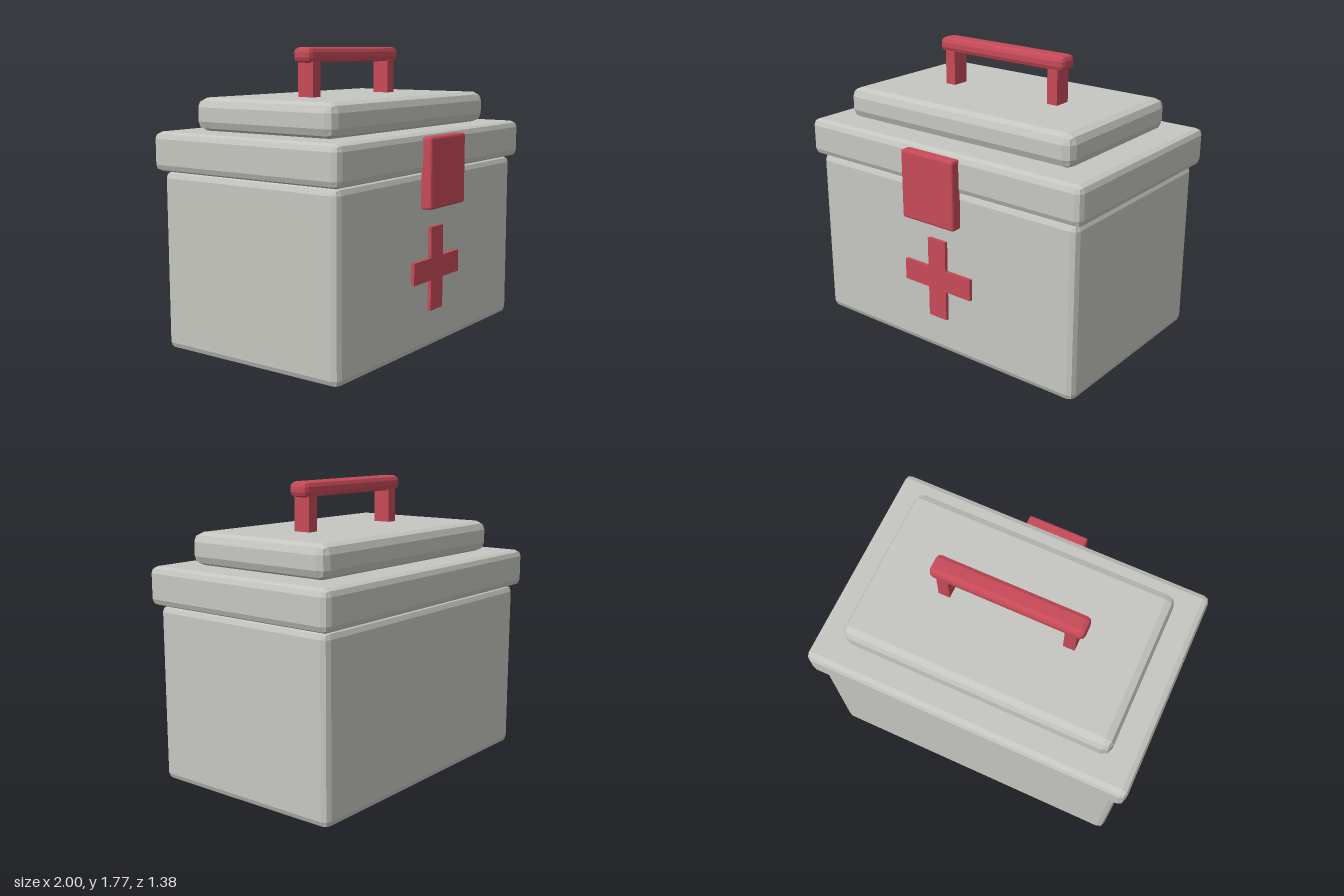
import * as THREE from 'three';

// Box with a two-step faceted bevel; bounds are [min, max] per axis
function bevelBox([x0, x1], [y0, y1], [z0, z1], r) {
  const half = [(x1 - x0) / 2, (y1 - y0) / 2, (z1 - z0) / 2];
  const geo = new THREE.BoxGeometry(1, 1, 1, 3, 3, 3);
  const pos = geo.attributes.position;
  for (let i = 0; i < pos.count; i++) {
    const p = [pos.getX(i), pos.getY(i), pos.getZ(i)];
    // Outer grid lines lie on the bevel, inner ones bound the flat faces
    const dir = new THREE.Vector3(...p.map(c => (Math.abs(c) > 0.4 ? Math.sign(c) : 0))).normalize();
    const d = dir.toArray();
    pos.setXYZ(i, ...p.map((c, k) => Math.sign(c) * (half[k] - r) + d[k] * r));
  }
  const flat = geo.toNonIndexed();
  flat.computeVertexNormals();
  flat.translate((x0 + x1) / 2, (y0 + y1) / 2, (z0 + z1) / 2);
  return flat;
}

// Plus-shaped plate outline
function crossShape(long, short) {
  const quarter = [[long, -short], [long, short], [short, short]];
  const points = [];
  for (let k = 0; k < 4; k++) {
    const c = Math.round(Math.cos(k * Math.PI / 2));
    const s = Math.round(Math.sin(k * Math.PI / 2));
    for (const [x, y] of quarter) points.push(new THREE.Vector2(x * c - y * s, x * s + y * c));
  }
  return new THREE.Shape(points);
}

export function createModel() {
  const group = new THREE.Group();
  const grey = new THREE.MeshStandardMaterial({ color: 0xc6c6c1 });
  grey.name = 'light grey';
  const red = new THREE.MeshStandardMaterial({ color: 0xc74a58 });
  red.name = 'red';

  const add = (name, geometry, material) => {
    const mesh = new THREE.Mesh(geometry, material);
    mesh.name = name;
    group.add(mesh);
    return mesh;
  };

  // Case: body, lid rim and raised lid panel
  add('body', bevelBox([-0.957, 0.957], [0, 1.06], [-0.652, 0.598], 0.04), grey);
  add('lid', bevelBox([-1, 1], [1.06, 1.29], [-0.69, 0.635], 0.04), grey);
  add('lidPanel', bevelBox([-0.823, 0.823], [1.29, 1.482], [-0.527, 0.47], 0.055), grey);

  // Handle: bar on two square posts
  add('handleBar', bevelBox([-0.46, 0.46], [1.68, 1.77], [-0.093, 0.035], 0.03), red);
  for (const side of [-1, 1]) {
    const post = add(side > 0 ? 'leftHandlePost' : 'rightHandlePost',
      new THREE.BoxGeometry(0.07, 0.24, 0.11), red);
    post.position.set(side * 0.384, 1.58, -0.028);
  }

  // Latch on the front of the lid
  add('latch', bevelBox([-0.192, 0.192], [0.855, 1.27], [0.618, 0.69], 0.013), red);

  // Raised cross on the front of the body
  const cross = add('cross', new THREE.ExtrudeGeometry(crossShape(0.25, 0.066),
    { depth: 0.03, bevelEnabled: false }), red);
  cross.position.set(0, 0.483, 0.589);

  return group;
}
